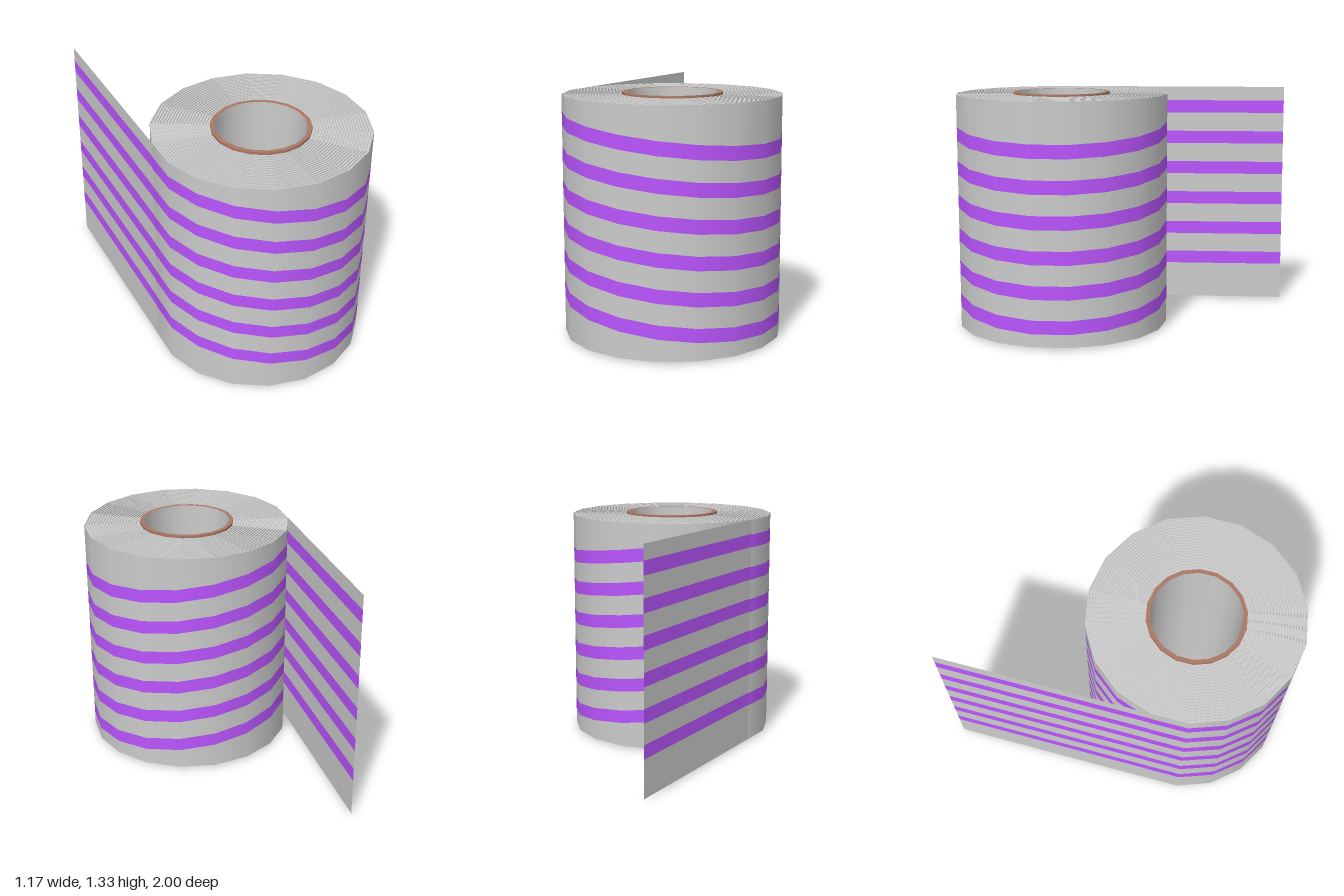
import * as THREE from 'three';

const SIDES = 18, R = 0.595, CZ = 0.405;       // roll polygon, radius and axis position
const Y0 = 0.01, Y1 = 1.32, TOP = 1.33;        // sheet bottom/top, core top
const CORE_IN = 0.25, CORE_OUT = 0.272;
const STRIPES = 6, PITCH = 0.188, STRIPE_H = 0.075, FIRST = 0.222;

const material = (color, side = THREE.FrontSide) =>
  new THREE.MeshStandardMaterial({ color, side });

function addMesh(parent, name, geometry, mat) {
  const mesh = new THREE.Mesh(geometry, mat);
  mesh.name = name;
  parent.add(mesh);
}

// Upright band between two height functions along plan points {x, z, nx, nz}
function band(points, low, high) {
  const pos = [], nor = [], idx = [];
  points.forEach((p, i) => {
    pos.push(p.x, low(p), p.z, p.x, high(p), p.z);
    nor.push(p.nx, 0, p.nz, p.nx, 0, p.nz);
    if (i < points.length - 1) {
      const a = i * 2;
      idx.push(a, a + 2, a + 3, a, a + 3, a + 1);
    }
  });
  const g = new THREE.BufferGeometry();
  g.setAttribute('position', new THREE.Float32BufferAttribute(pos, 3));
  g.setAttribute('normal', new THREE.Float32BufferAttribute(nor, 3));
  g.setIndex(idx);
  return g;
}

// A sheet face made of alternating plain and striped bands
function stripedSheet(name, points, rise, plain, purple) {
  const group = new THREE.Group();
  group.name = name;
  let low = () => Y0;
  for (let i = 0; i < STRIPES; i++) {
    const y = FIRST + i * PITCH;
    const a = p => y + rise(p), b = p => y + STRIPE_H + rise(p);
    addMesh(group, 'plainBand', band(points, low, a), plain);
    addMesh(group, 'stripe', band(points, a, b), purple);
    low = b;
  }
  addMesh(group, 'plainBand', band(points, low, () => Y1), plain);
  return group;
}

// Revolved profile on the roll axis, crisp facets unless smooth
function revolve(profile, smooth = false) {
  let g = new THREE.LatheGeometry(profile.map(p => new THREE.Vector2(...p)), SIDES);
  if (!smooth) {
    g = g.toNonIndexed();
    g.computeVertexNormals();
  }
  return g.translate(0, 0, CZ);
}

// End face of the wound layers: fine square steps from the outside inwards
function layerProfile(y, dip) {
  const layers = 20, step = (R - CORE_OUT) / (layers * 2), pts = [];
  for (let i = 0; i < layers * 2; i++) {
    const h = i % 2 ? y + dip : y;
    pts.push([R - i * step, h], [R - (i + 1) * step, h]);
  }
  return pts;
}

export function createModel() {
  const model = new THREE.Group();
  model.name = 'paperRoll';
  const grey = material(0xcccccc), purple = material(0xbb55ff);
  const brown = material(0xaa7864);

  // Outer wrap, with stripes that tilt around the roll
  const around = [];
  for (let i = 0; i <= SIDES; i++) {
    const a = (i / SIDES) * Math.PI * 2, nx = Math.sin(a), nz = Math.cos(a);
    around.push({ x: R * nx, z: CZ + R * nz, nx, nz });
  }
  const tilt = p => -0.072 - 0.066 * p.nx - 0.022 * p.nz;
  model.add(stripedSheet('outerWrap', around, tilt, grey, purple));

  // Loose end, running straight on from one facet of the roll
  const start = around[12], end = { x: -0.11, z: -1 };
  const dx = end.x - start.x, dz = end.z - start.z, len = Math.hypot(dx, dz);
  const n = { nx: dz / len, nz: -dx / len };
  const tail = [{ ...end, ...n }, { x: start.x, z: start.z, ...n }];
  model.add(stripedSheet('looseEnd', tail, () => 0,
    material(0xcccccc, THREE.DoubleSide), material(0xbb55ff, THREE.DoubleSide)));

  // Wound layers seen at both ends
  addMesh(model, 'topLayers', revolve(layerProfile(Y1, -0.006)), grey);
  addMesh(model, 'bottomLayers', revolve(layerProfile(Y0, 0.006).reverse()), grey);

  // Core tube: brown rims and a plain bore
  addMesh(model, 'coreTopRim',
    revolve([[CORE_OUT, Y1 - 0.01], [CORE_OUT, TOP], [CORE_IN, TOP]]), brown);
  addMesh(model, 'coreBottomRim',
    revolve([[CORE_IN, 0], [CORE_OUT, 0], [CORE_OUT, Y0 + 0.01]]), brown);
  addMesh(model, 'coreBore', revolve([[CORE_IN, TOP], [CORE_IN, 0]], true), grey);

  return model;
}
